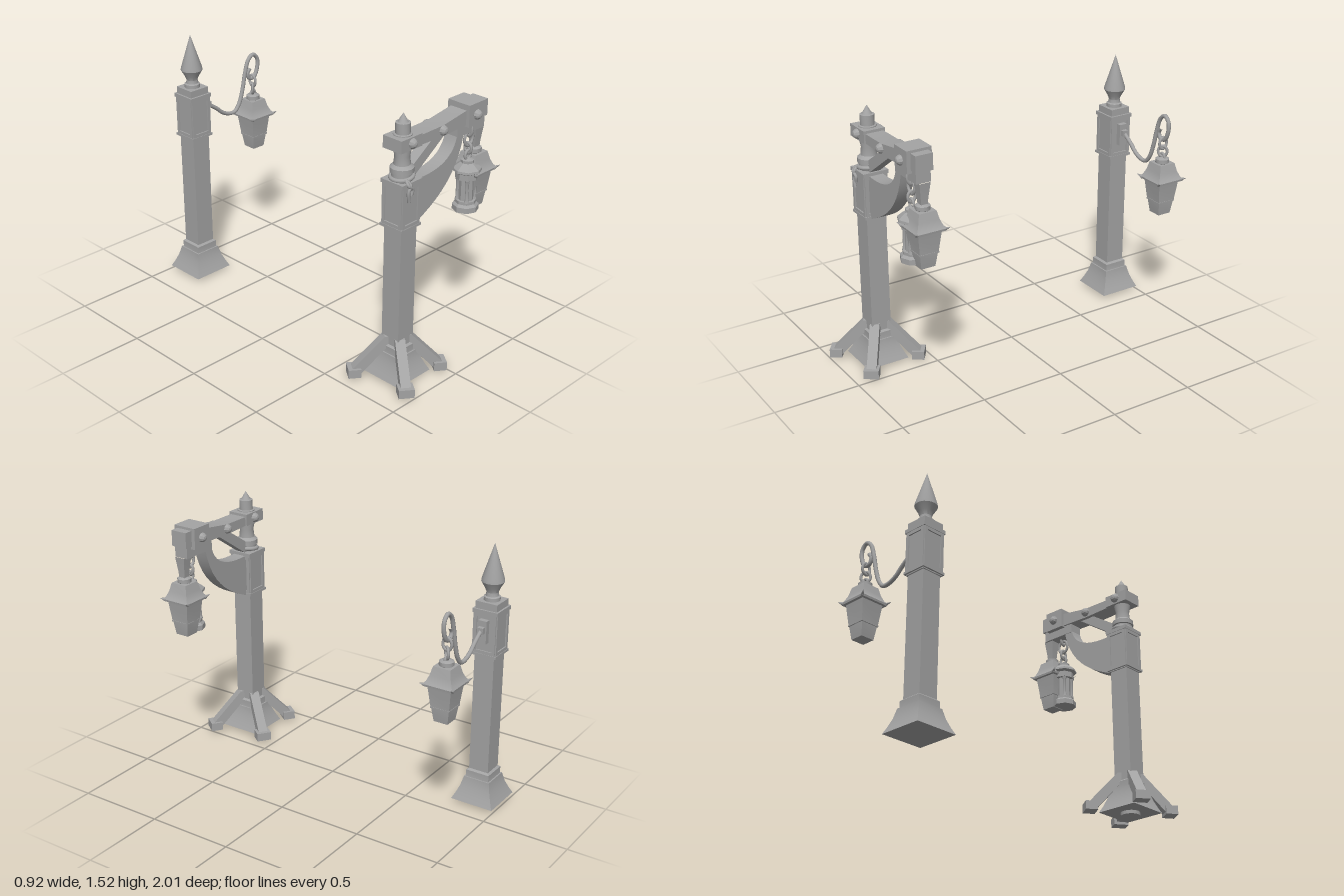
import * as THREE from 'three';
import { toCreasedNormals } from 'three/addons/utils/BufferGeometryUtils.js';

const grey = new THREE.MeshStandardMaterial({ color: 0xa3a3a3 });
grey.name = 'grey metal';

const V2 = (p) => new THREE.Vector2(p[0], p[1]);
const V3 = (p) => new THREE.Vector3(...p);

function add(parent, name, geo, x = 0, y = 0, z = 0) {
  const m = new THREE.Mesh(geo, grey);
  m.name = name;
  m.position.set(x, y, z);
  parent.add(m);
  return m;
}
function group(parent, name, x = 0, y = 0, z = 0) {
  const g = new THREE.Group();
  g.name = name;
  g.position.set(x, y, z);
  parent.add(g);
  return g;
}
const box = (w, h, d) => new THREE.BoxGeometry(w, h, d);

// turned profile of [radius, y], bottom to top
const turned = (pts, sides = 16, crease = 0.6) =>
  toCreasedNormals(new THREE.LatheGeometry(pts.map(V2), sides), crease);

// square section profile of [half width, y]
const square = (pts) => toCreasedNormals(
  new THREE.LatheGeometry(pts.map(([r, y]) => V2([r * Math.SQRT2, y])), 4, Math.PI / 4), 0.5);

// flat outline in x and y, centred on z
function slab(shape, depth) {
  const g = new THREE.ExtrudeGeometry(shape, { depth, bevelEnabled: false, curveSegments: 10 });
  return toCreasedNormals(g.translate(0, 0, -depth / 2), 0.5);
}
const outline = (pts) => new THREE.Shape(pts.map(V2));
const tube = (pts, r, n = 40) =>
  new THREE.TubeGeometry(new THREE.CatmullRomCurve3(pts.map(V3)), n, r, 8);

function link(parent, x, y, z, turn, r = 0.028, stretch = 1.3) {
  const m = add(parent, 'chainLink', new THREE.TorusGeometry(r, 0.008, 8, 16), x, y, z);
  m.scale.y = stretch;
  m.rotation.y = turn;
}

// square post with flared foot and panelled head, shared by both lamps
function addPost(g) {
  add(g, 'flaredFoot', square([[0, 0.02], [0.127, 0.02], [0.11, 0.055], [0.092, 0.1], [0.078, 0.155],
    [0.07, 0.155], [0.07, 0.195], [0.058, 0.205]]));
  add(g, 'shaft', box(0.117, 0.75, 0.117), 0, 0.555, 0);
  add(g, 'headBlock', box(0.13, 0.27, 0.13), 0, 1.03, 0);
  add(g, 'headLowerTrim', box(0.15, 0.014, 0.15), 0, 0.908, 0);
  add(g, 'headUpperTrim', box(0.15, 0.022, 0.15), 0, 1.154, 0);
  for (let i = 0; i < 4; i++) {
    const side = group(g, 'headPanel');
    side.rotation.y = i * Math.PI / 2;
    for (const s of [-1, 1]) {
      add(side, 'panelStile', box(0.018, 0.228, 0.009), s * 0.057, 1.029, 0.068);
      add(side, 'panelRail', box(0.1, 0.018, 0.009), 0, 1.029 + s * 0.105, 0.068);
    }
  }
}

// four sided lantern, origin at the roof rim
function addSquareLantern(parent, x, y, z) {
  const g = group(parent, 'squareLantern', x, y, z);
  add(g, 'lanternBody', square([[0, -0.213], [0.041, -0.213], [0.052, -0.135], [0.057, -0.135],
    [0.057, -0.127], [0.055, -0.127], [0.069, -0.008]]));
  add(g, 'lanternRoof', square([[0, -0.008], [0.086, -0.008], [0.088, 0.004], [0.075, 0.02], [0.062, 0.05],
    [0.052, 0.092], [0.05, 0.098], [0, 0.098]]));
  add(g, 'lanternCap', turned([[0.034, 0.095], [0.04, 0.1], [0.04, 0.122], [0.025, 0.13], [0, 0.132]], 12));
  for (const sx of [-1, 1]) for (const sz of [-1, 1]) {
    const tip = add(g, 'roofTip', new THREE.ConeGeometry(0.012, 0.04, 6), sx * 0.09, 0.006, sz * 0.088);
    tip.rotation.set(sz * 0.9, 0, -sx * 0.9);
  }
}

// eight sided lantern, origin on the ground line
function addRoundLantern(parent, x, z) {
  const g = group(parent, 'eightSidedLantern', x, 0, z);
  add(g, 'lanternBase', turned([[0, 0.825], [0.072, 0.825], [0.072, 0.855], [0.058, 0.868], [0.058, 0.885],
    [0, 0.885]], 8, 0.3));
  add(g, 'lanternGlass', turned([[0.042, 0.88], [0.042, 1.02]], 8, 0.3));
  add(g, 'lanternRoof', turned([[0, 1.01], [0.062, 1.01], [0.062, 1.045], [0.08, 1.055], [0.078, 1.068],
    [0.05, 1.09], [0.036, 1.1], [0.036, 1.115], [0, 1.125]], 8, 0.3));
  for (let i = 0; i < 4; i++) {
    const a = Math.PI / 4 + i * Math.PI / 2;
    add(g, 'lanternColumn', turned([[0.014, 0.88], [0.009, 0.9], [0.009, 0.99], [0.016, 1.015]], 8),
      0.046 * Math.cos(a), 0, 0.046 * Math.sin(a));
  }
}

function addBeamLamp(root) {
  const g = group(root, 'beamLamp', -0.218, 0, 0.765);
  addPost(g);
  add(g, 'groundDisc', new THREE.CylinderGeometry(0.056, 0.056, 0.03, 16), 0, 0.015, 0);

  // four braced feet, turned a little off the diagonal
  for (let i = 0; i < 4; i++) {
    const leg = group(g, 'legAssembly');
    leg.rotation.y = -THREE.MathUtils.degToRad(36 + 90 * i);
    add(leg, 'legBrace', slab(outline([[0.045, 0.2], [0.2, 0.03], [0.25, 0.06], [0.073, 0.25], [0.045, 0.25]]), 0.055));
    add(leg, 'legFoot', box(0.07, 0.05, 0.085), 0.234, 0.04, 0);
  }

  // turned column above the head, with a rope tied round it
  add(g, 'column', turned([[0.055, 1.16], [0.055, 1.2], [0.063, 1.203], [0.063, 1.23], [0.045, 1.245],
    [0.04, 1.29], [0.05, 1.337], [0.05, 1.41], [0.039, 1.412], [0.039, 1.47], [0.028, 1.472], [0, 1.52]]));
  const rope = add(g, 'rope', new THREE.TorusGeometry(0.058, 0.012, 8, 20), 0, 1.178, 0);
  rope.rotation.set(Math.PI / 2, 0.12, 0);
  add(g, 'ropeTail', tube([[-0.03, 1.18, 0.055], [-0.02, 1.155, 0.08], [-0.035, 1.12, 0.08], [-0.025, 1.06, 0.076]], 0.009, 12));
  add(g, 'ropeTail', tube([[-0.03, 1.18, 0.055], [-0.035, 1.155, 0.08], [-0.005, 1.13, 0.08], [-0.01, 1.095, 0.076]], 0.009, 12));

  // beam, head block, braces, in world x
  const arm = group(g, 'arm', 0.218, 0, 0);
  add(arm, 'beam', slab(outline([[-0.15, 1.337], [0.03, 1.332], [0.215, 1.338], [0.215, 1.42], [0.03, 1.392],
    [-0.15, 1.39]]), 0.105));
  add(arm, 'beamTail', box(0.155, 0.068, 0.125), -0.218, 1.371, 0);
  add(arm, 'beamHead', box(0.126, 0.122, 0.144), 0.274, 1.39, 0);
  add(arm, 'beamEnd', box(0.06, 0.092, 0.1), 0.357, 1.391, 0);
  add(arm, 'hangerBlock', box(0.216, 0.07, 0.085), 0.265, 1.315, 0);
  add(arm, 'lanternHanger', square([[0.018, 1.15], [0.022, 1.2], [0.032, 1.285]]), 0.357, 0, 0);
  add(arm, 'diagonalBrace', slab(outline([[-0.21, 1.2], [-0.17, 1.155], [0.09, 1.336], [-0.01, 1.336]]), 0.06));

  const curve = new THREE.Shape();
  curve.moveTo(-0.16, 0.9);
  curve.lineTo(-0.135, 0.905);
  curve.bezierCurveTo(0.04, 0.98, 0.17, 1.08, 0.212, 1.285);
  curve.lineTo(0.157, 1.285);
  curve.bezierCurveTo(0.13, 1.18, 0.03, 1.14, -0.135, 1.147);
  curve.lineTo(-0.16, 1.147);
  add(arm, 'curvedBracket', slab(curve, 0.08));

  for (const s of [-1, 1]) for (const [x, y, z] of [[-0.215, 1.372, 0.063], [0.028, 1.366, 0.053], [0.274, 1.387, 0.073]]) {
    const bolt = add(arm, 'bolt', toCreasedNormals(new THREE.SphereGeometry(0.028, 10, 6), 0.3), x, y, s * z);
    bolt.rotation.x = Math.PI / 2;
  }

  addSquareLantern(arm, 0.357, 1.035, 0);
  addRoundLantern(arm, 0.28, 0.02);
  link(arm, 0.28, 1.29, 0.02, Math.PI / 2, 0.022, 1.7);
  link(arm, 0.28, 1.235, 0.02, 0, 0.034, 1.2);
  link(arm, 0.28, 1.18, 0.02, Math.PI / 2, 0.022, 1.3);
  link(arm, 0.28, 1.14, 0.02, 0, 0.022, 1.2);
}

function addHookLamp(root) {
  const g = group(root, 'hookLamp', -0.218, 0, -0.871);
  addPost(g);
  add(g, 'headCap', box(0.128, 0.042, 0.128), 0, 1.184, 0);
  add(g, 'finial', turned([[0.045, 1.2], [0.045, 1.225], [0.036, 1.23], [0.032, 1.25], [0.042, 1.275],
    [0.063, 1.31], [0.061, 1.325], [0, 1.52]], 20));

  // scrolled iron arm from a wall plate
  const arm = group(g, 'hookArm', 0.218, 0, 0);
  add(arm, 'wallPlate', box(0.03, 0.13, 0.05), -0.135, 1.05, 0);
  add(arm, 'armSocket', box(0.03, 0.035, 0.035), -0.11, 1.065, 0);
  add(arm, 'scroll', tube([[-0.11, 1.065, 0], [-0.04, 1.015, 0], [0, 0.98, 0], [0.05, 0.957, 0], [0.1, 0.957, 0],
    [0.137, 1.0, 0], [0.166, 1.08, 0], [0.19, 1.18, 0], [0.218, 1.255, 0], [0.255, 1.28, 0], [0.288, 1.25, 0],
    [0.288, 1.19, 0], [0.262, 1.14, 0], [0.225, 1.135, 0], [0.208, 1.17, 0], [0.228, 1.2, 0]], 0.012, 80));
  link(arm, 0.249, 1.115, 0, Math.PI / 2, 0.026, 1.3);
  link(arm, 0.249, 1.065, 0, Math.PI / 4, 0.026, 1.2);
  link(arm, 0.249, 1.03, 0, 0, 0.018, 1.2);
  addSquareLantern(arm, 0.249, 0.9, 0);
}

export function createModel() {
  const root = new THREE.Group();
  root.name = 'streetLamps';
  addBeamLamp(root);
  addHookLamp(root);
  return root;
}
